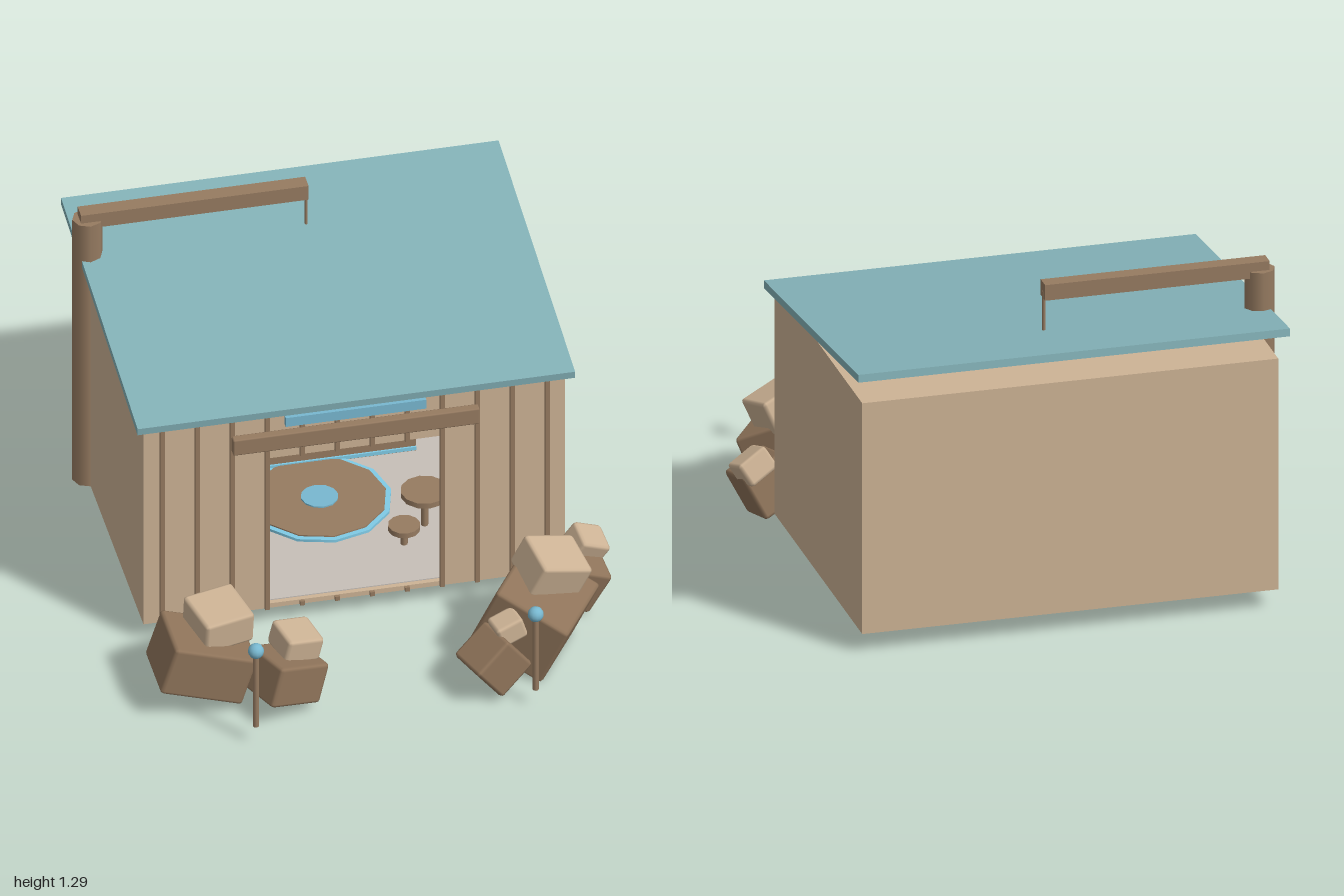
import * as THREE from 'three';
import { RoundedBoxGeometry } from 'three/addons/geometries/RoundedBoxGeometry.js';

const mat = (name, color, flatShading = false) => {
  const m = new THREE.MeshStandardMaterial({ color, flatShading });
  m.name = name;
  return m;
};

export function createModel() {
  const tan = mat('tan', 0xcdb395);
  const brown = mat('brown', 0x967b61);
  const rockBrown = mat('rockBrown', 0x8f745a);
  const teal = mat('teal', 0x84b2b8);
  const blue = mat('blue', 0x78b8d0);
  const brightBlue = mat('brightBlue', 0x80cbe6);
  const crystalBlue = mat('crystalBlue', 0x5a9fb5, true);
  const grey = mat('grey', 0xc6bfb8);

  const model = new THREE.Group();
  model.name = 'cabin';
  const CX = -0.045; // centre line of the cabin

  const add = (name, geo, material, x, y, z) => {
    const m = new THREE.Mesh(geo, material);
    m.name = name;
    m.position.set(x, y, z);
    model.add(m);
    return m;
  };
  // Box given by its limits on each axis
  const span = (name, material, x0, x1, y0, y1, z0, z1) =>
    add(name, new THREE.BoxGeometry(x1 - x0, y1 - y0, z1 - z0), material,
      (x0 + x1) / 2, (y0 + y1) / 2, (z0 + z1) / 2);
  const cyl = (name, material, r, h, sides, x, y, z) =>
    add(name, new THREE.CylinderGeometry(r, r, h, sides), material, x, y, z);

  // Shell: floor, ceiling, back and side walls
  span('floor', tan, -0.84, 0.75, 0.1, 0.12, -0.945, 0.24);
  span('ceiling', tan, -0.84, 0.75, 1.0, 1.02, -0.945, 0.24);
  span('backWall', tan, -0.84, 0.75, 0.12, 1.0, -0.945, -0.925);
  span('leftWall', tan, 0.73, 0.75, 0.12, 1.0, -0.925, 0.24);
  span('rightWall', tan, -0.84, -0.82, 0.12, 1.0, -0.925, 0.24);

  // Pale lining of the room
  span('floorLining', grey, -0.82, 0.73, 0.12, 0.124, -0.925, 0.235);
  span('backLining', grey, -0.82, 0.73, 0.124, 1.0, -0.925, -0.919);
  for (const s of [-1, 1])
    add('sideLining', new THREE.BoxGeometry(0.006, 0.87, 1.15), grey, CX + s * 0.771, 0.56, -0.345);

  // Front wall with a doorway
  const wall = new THREE.Shape([[-0.84, 0.1], [0.75, 0.1], [0.75, 1.0], [-0.84, 1.0]]
    .map(([x, y]) => new THREE.Vector2(x, y)));
  wall.holes.push(new THREE.Path([[-0.38, 0.12], [-0.38, 0.78], [0.29, 0.78], [0.29, 0.12]]
    .map(([x, y]) => new THREE.Vector2(x, y))));
  add('frontWall', new THREE.ExtrudeGeometry(wall, { depth: 0.018, bevelEnabled: false }), tan, 0, 0, 0.236);

  // Battens, cut short above and below the doorway
  for (let i = 0; i < 12; i++) {
    const x = -0.77 + i * 0.132;
    const inDoor = x > -0.37 && x < 0.28;
    const parts = inDoor ? [[0.1, 0.118], [0.78, 1.0]] : [[0.1, 1.0]];
    for (const [y0, y1] of parts) span('batten', brown, x - 0.009, x + 0.009, y0, y1, 0.25, 0.266);
  }

  // Lintel and light strip over the door
  add('lintel', new RoundedBoxGeometry(0.93, 0.07, 0.035, 1, 0.006), brown, CX, 0.875, 0.278);
  span('lightStrip', blue, -0.31, 0.22, 0.935, 0.975, 0.262, 0.285);

  // Sloping roof
  add('roof', new THREE.BoxGeometry(1.65, 0.03, 1.297), teal, CX, 1.073, -0.355).rotation.x = 0.108;

  // Corner post with a hoist arm
  cyl('post', brown, 0.057, 1.18, 8, -0.84, 0.69, -0.69).material.flatShading = false;
  span('hoistArm', brown, -0.87, -0.012, 1.253, 1.315, -0.72, -0.66);
  cyl('hoistRod', brown, 0.006, 0.16, 6, -0.015, 1.2, -0.69);

  // Framed screen on the back wall
  add('screenFrame', new RoundedBoxGeometry(0.55, 0.24, 0.03, 1, 0.008), brown, CX, 0.603, -0.905);
  span('screen', blue, -0.3, 0.21, 0.515, 0.7, -0.892, -0.886);

  // Console with a sloping glowing panel
  const side = new THREE.Shape([[0.56, 0.124], [0.84, 0.124], [0.84, 0.33], [0.68, 0.33], [0.56, 0.2]]
    .map(([x, y]) => new THREE.Vector2(x, y)));
  add('console', new THREE.ExtrudeGeometry(side, { depth: 0.83, bevelEnabled: false }), brown, -0.46, 0, 0)
    .rotation.y = Math.PI / 2;
  span('consoleTrim', brightBlue, -0.46, 0.37, 0.13, 0.145, -0.56, -0.553);
  const panel = add('consolePanel', new THREE.BoxGeometry(0.67, 0.11, 0.008), brightBlue, CX + 0.04, 0.262, -0.62);
  panel.rotation.x = -Math.atan2(0.12, 0.13);

  // Floating crystals above small discs
  const crystal = (x, y, z, r, h) => {
    const pts = [[0, -h / 2], [r, -h * 0.28], [r, h * 0.28], [0, h / 2]]
      .map(([a, b]) => new THREE.Vector2(a, b));
    add('crystal', new THREE.LatheGeometry(pts, 6), crystalBlue, x, y, z);
  };
  for (const i of [-1, 0, 1]) {
    crystal(CX + i * 0.235, i ? 0.415 : 0.445, -0.74, 0.034, 0.11);
    cyl('crystalDisc', crystalBlue, 0.032, 0.008, 12, CX + i * 0.235, 0.334, -0.74);
  }
  crystal(CX, 0.83, -0.35, 0.06, 0.16);
  // Crystal columns beside the side walls
  for (const s of [-1, 1])
    for (const y of [0.24, 0.37, 0.5, 0.63]) crystal(CX + s * 0.57, y, -0.3, 0.045, 0.12);

  // Round floor dais
  cyl('daisRim', brightBlue, 0.27, 0.012, 12, CX, 0.129, -0.33);
  cyl('daisTop', brown, 0.25, 0.014, 12, CX, 0.133, -0.33);
  cyl('daisCentre', blue, 0.07, 0.006, 12, CX, 0.143, -0.33);

  // Stool and small side table
  for (const [x, y, z, r] of [[0.2, 0.2, 0, 0.06], [0.3, 0.27, -0.1, 0.09]]) {
    cyl('stoolSeat', brown, r, 0.022, 12, x, y, z);
    cyl('stoolLeg', brown, 0.014, y - 0.124, 8, x, (y + 0.124) / 2, z);
  }

  // Lamps at the front
  for (const x of [-0.575, 0.48]) {
    cyl('lampPole', brown, 0.012, 0.33, 8, x, 0.265, 0.965);
    add('lampGlobe', new THREE.SphereGeometry(0.03, 12, 8), blue, x, 0.44, 0.965);
  }

  // Rock piles: position, size, turns about y, z and x
  const rocks = [
    [rockBrown, -0.707, 0.2, 0.635, 0.325, 0.2, 0.27, 0, -0.31, 0],
    [tan, -0.635, 0.34, 0.6, 0.2, 0.13, 0.2, 0.25, 0, 0.1],
    [rockBrown, -0.42, 0.17, 0.765, 0.23, 0.165, 0.2, 0.42, -0.3, 0],
    [tan, -0.37, 0.285, 0.72, 0.15, 0.1, 0.15, 0.25, -0.2, 0.1],
    [rockBrown, 0.55, 0.205, 0.635, 0.31, 0.27, 0.35, -0.57, -0.42, 0],
    [tan, 0.62, 0.385, 0.605, 0.22, 0.14, 0.19, 0.22, -0.36, 0.25],
    [rockBrown, 0.35, 0.165, 0.835, 0.17, 0.18, 0.17, 0.35, 0.65, 0],
    [tan, 0.41, 0.28, 0.805, 0.11, 0.09, 0.1, 0.2, 0.3, 0],
    [rockBrown, 0.75, 0.17, 0.39, 0.18, 0.19, 0.19, 0.12, -0.45, 0.2],
    [tan, 0.81, 0.265, 0.335, 0.13, 0.1, 0.12, 0.15, -0.5, 0.3],
  ];
  for (const [m, x, y, z, w, h, d, ry, rz, rx] of rocks)
    add('rock', new RoundedBoxGeometry(w, h, d, 1, 0.014), m, x, y, z).rotation.set(rx, ry, rz, 'YXZ');

  return model;
}
